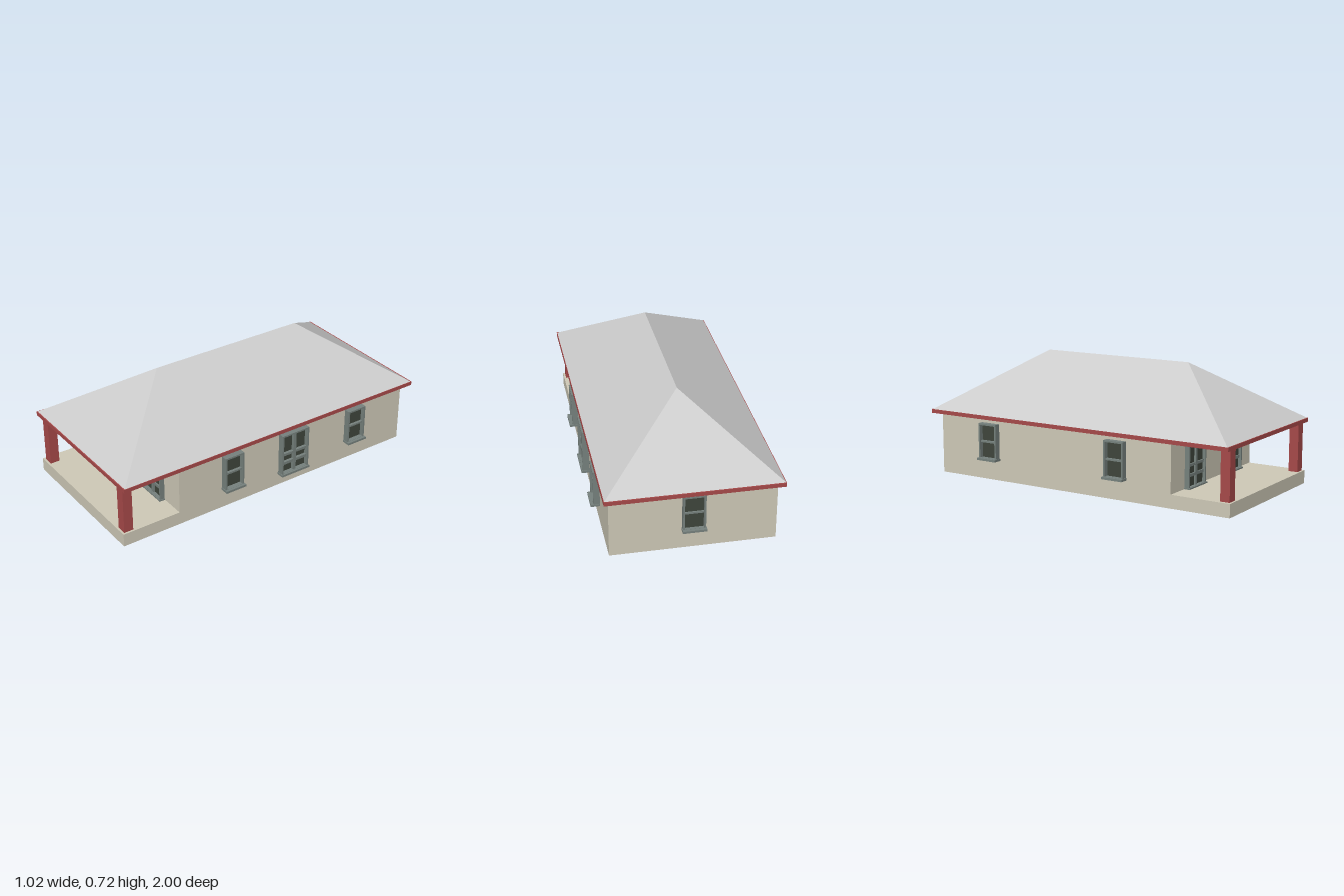
import * as THREE from 'three';

const mat = (color, side = THREE.FrontSide) =>
  new THREE.MeshStandardMaterial({ color, side, flatShading: true });

export function createModel() {
  const house = new THREE.Group();
  house.name = 'house';

  const wallMat = mat(0xcfcab8, THREE.DoubleSide);
  const redMat = mat(0xa84a4a);
  const frameMat = mat(0x77827e);
  const glassMat = mat(0x3f463c);
  const roofMat = mat(0xcccccc);

  const add = (parent, name, geometry, material, x = 0, y = 0, z = 0) => {
    const mesh = new THREE.Mesh(geometry, material);
    mesh.name = name;
    mesh.position.set(x, y, z);
    parent.add(mesh);
    return mesh;
  };
  const box = (parent, name, material, x0, x1, y0, y1, z0, z1) =>
    add(parent, name, new THREE.BoxGeometry(x1 - x0, y1 - y0, z1 - z0), material,
      (x0 + x1) / 2, (y0 + y1) / 2, (z0 + z1) / 2);

  // Main dimensions
  const left = -0.46, right = 0.455, mid = (left + right) / 2, width = right - left;
  const back = -0.94, wallFront = 0.643, porchFront = 1;
  const floorY = 0.077, eaveY = 0.358, fasciaY = 0.381, ridgeY = 0.722;

  // Thin side walls that drop down to the porch base
  const outline = new THREE.Shape([
    [porchFront, 0], [porchFront, floorY], [wallFront, floorY],
    [wallFront, eaveY], [back, eaveY], [back, 0],
  ].map(([z, y]) => new THREE.Vector2(z, y)));
  const sideWall = new THREE.ShapeGeometry(outline).rotateY(-Math.PI / 2);
  add(house, 'rightWall', sideWall, wallMat, left);
  add(house, 'leftWall', sideWall, wallMat, right);

  // Cross walls and porch floor; the underside of the house is open
  const crossWall = (name, y0, y1, z) =>
    add(house, name, new THREE.PlaneGeometry(width, y1 - y0), wallMat, mid, (y0 + y1) / 2, z);
  crossWall('backWall', 0, eaveY, back);
  crossWall('frontWall', floorY, eaveY, wallFront);
  crossWall('porchBaseFront', 0, floorY, porchFront);
  add(house, 'porchFloor',
    new THREE.PlaneGeometry(width, porchFront - wallFront).rotateX(-Math.PI / 2),
    wallMat, mid, floorY, (wallFront + porchFront) / 2);

  // Porch posts, set slightly into the floor
  for (const x of [-0.412, 0.414])
    box(house, 'porchPost', redMat, x - 0.029, x + 0.029, 0.05, eaveY, 0.932, 0.988);

  // Fascia slab, also the ceiling
  box(house, 'fascia', redMat, -0.489, 0.485, eaveY, fasciaY, -1, 1);

  // Hip roof
  const [rx0, rx1, rz, ridgeZ] = [-0.486, 0.482, 0.994, 0.48];
  const a = [rx0, fasciaY, rz], b = [rx1, fasciaY, rz];
  const c = [rx1, fasciaY, -rz], d = [rx0, fasciaY, -rz];
  const e = [-0.002, ridgeY, ridgeZ], f = [-0.002, ridgeY, -ridgeZ];
  const faces = [a, b, e, b, c, f, b, f, e, c, d, f, d, a, e, d, e, f];
  const roof = new THREE.BufferGeometry();
  roof.setAttribute('position', new THREE.Float32BufferAttribute(faces.flat(), 3));
  roof.computeVertexNormals();
  add(house, 'hipRoof', roof, roofMat);

  // A framed opening facing local +z, with its wall plane at z = 0
  const opening = (name, x, z, turn, o) => {
    const g = new THREE.Group();
    g.name = name;
    g.position.set(x, 0, z);
    g.rotation.y = turn;
    const h = o.w / 2, t = 0.01, inset = 0.004;
    const rect = (P, x0, x1, y0, y1) => new P([
      new THREE.Vector2(x0, y0), new THREE.Vector2(x1, y0),
      new THREE.Vector2(x1, y1), new THREE.Vector2(x0, y1)]);
    const border = rect(THREE.Shape, -h, h, o.y0, o.y1);
    border.holes.push(rect(THREE.Path, -h + t, h - t, o.y0 + t, o.y1 - t));
    add(g, 'frame', new THREE.ExtrudeGeometry(border,
      { depth: o.depth + inset, bevelEnabled: false }), frameMat, 0, 0, -inset);
    box(g, 'glass', glassMat, -h + t, h - t, o.y0 + t, o.y1 - t, 0.001, 0.01);
    for (const [y0, y1] of o.rails)
      box(g, 'rail', frameMat, -h + t, h - t, y0, y1, 0.005, o.depth - 0.01);
    if (o.stile)
      box(g, 'stile', frameMat, -o.stile / 2, o.stile / 2, o.y0 + t, o.y1 - t, 0.005, o.depth - 0.008);
    box(g, 'sill', frameMat, -h - 0.004, h + 0.004, o.y0 - 0.004, o.y0 + 0.009, -inset, o.sill);
    house.add(g);
  };

  const windowSpec = { w: 0.125, y0: 0.122, y1: 0.335, depth: 0.036, sill: 0.052, rails: [[0.222, 0.233]] };
  const doorSpec = {
    w: 0.188, y0: 0.076, y1: 0.34, depth: 0.037, sill: 0.045,
    rails: [[0.14, 0.157], [0.198, 0.213]], stile: 0.018,
  };
  const porchDoorSpec = { ...doorSpec, y1: 0.342, depth: 0.028, sill: 0.035 };

  // Side windows, side door, rear window and the two porch doors
  for (const z of [0.297, -0.576]) {
    opening('leftWindow', right, z, Math.PI / 2, windowSpec);
    opening('rightWindow', left, z, -Math.PI / 2, windowSpec);
  }
  opening('sideDoor', right, -0.126, Math.PI / 2, doorSpec);
  opening('backWindow', mid, back, Math.PI, { ...windowSpec, depth: 0.028, sill: 0.045 });
  for (const x of [-0.218, 0.209]) opening('porchDoor', x, wallFront, 0, porchDoorSpec);

  return house;
}
